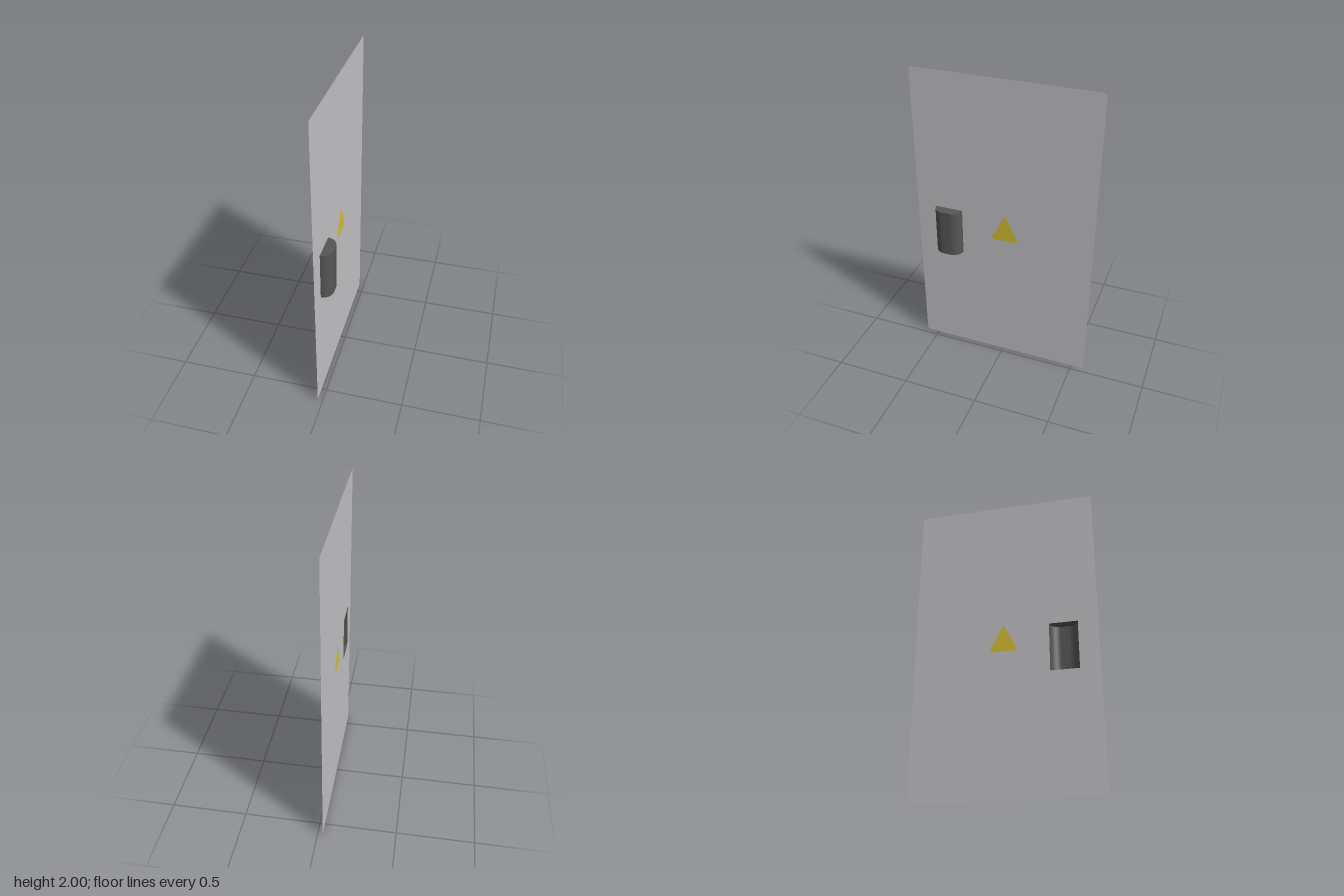
import * as THREE from 'three';

const BACK = -0.033;               // plane of the panel
const R = 0.065;                   // handle depth and corner radius
const Z0 = 0.28, Z1 = 0.46;        // handle extent along z
const Y0 = 0.768, Y1 = 1.083;      // handle extent along y

const material = (name, color) =>
  new THREE.MeshStandardMaterial({ name, color, side: THREE.DoubleSide });

// Polygon with rounded corners
function roundedPolygon(corners, radius) {
  const shape = new THREE.Shape();
  const pts = corners.map(([x, y]) => new THREE.Vector2(x, y));
  pts.forEach((p, i) => {
    const prev = pts[(i + pts.length - 1) % pts.length];
    const next = pts[(i + 1) % pts.length];
    const a = p.clone().add(prev.clone().sub(p).setLength(radius));
    const b = p.clone().add(next.clone().sub(p).setLength(radius));
    if (i === 0) shape.moveTo(a.x, a.y); else shape.lineTo(a.x, a.y);
    shape.quadraticCurveTo(p.x, p.y, b.x, b.y);
  });
  shape.closePath();
  return shape;
}

// Stands a flat shape up facing +x (shape x becomes -z)
const upright = (shape, x) =>
  new THREE.ShapeGeometry(shape, 8).rotateY(Math.PI / 2).translate(x, 0, 0);

export function createModel() {
  const model = new THREE.Group();
  model.name = 'panelDoor';
  const panelGrey = material('panelGrey', 0xc2c1c4);
  const handleGrey = material('handleGrey', 0x565656);
  const signYellow = material('signYellow', 0xd4bf32);
  const add = (parent, name, geometry, mat) => {
    const mesh = new THREE.Mesh(geometry, mat);
    mesh.name = name;
    parent.add(mesh);
  };

  // Thin door sheet, open behind the handle
  const sheet = roundedPolygon([[-0.587, 0], [0.587, 0], [0.587, 2], [-0.587, 2]], 0.02);
  const hole = new THREE.Path();
  hole.moveTo(-Z1, Y0).lineTo(-Z1, Y1).lineTo(-Z0, Y1).lineTo(-Z0, Y0).closePath();
  sheet.holes.push(hole);
  add(model, 'panel', upright(sheet, BACK), panelGrey);

  // Warning triangle on both faces
  const triangle = roundedPolygon([[-0.082, 0.922], [0.102, 0.922], [0.01, 1.108]], 0.022);
  add(model, 'signOuter', upright(triangle, BACK + 0.002), signYellow);
  add(model, 'signInner', upright(triangle, BACK - 0.002), signYellow);

  // Hollow handle: D-shaped profile in x and z
  const profile = new THREE.Shape();
  profile.moveTo(BACK, Z0);
  profile.absarc(BACK, Z0 + R, R, -Math.PI / 2, 0, false);
  profile.absarc(BACK, Z1 - R, R, 0, Math.PI / 2, false);

  const handle = new THREE.Group();
  handle.name = 'handle';
  model.add(handle);

  const points = profile.getPoints(12).filter((p, i, all) => i === 0 || p.distanceTo(all[i - 1]) > 1e-5);
  const n = points.length;
  const wall = new THREE.PlaneGeometry(1, 1, n - 1, 1);
  for (let i = 0; i < n; i++) {
    const p = points[n - 1 - i];
    wall.attributes.position.setXYZ(i, p.x, Y1, p.y);
    wall.attributes.position.setXYZ(n + i, p.x, Y0, p.y);
  }
  wall.computeVertexNormals();
  add(handle, 'handleWall', wall, handleGrey);

  // End caps, each facing outward
  const bottom = new THREE.ShapeGeometry(profile, 12).rotateX(Math.PI / 2).translate(0, Y0, 0);
  const top = new THREE.ShapeGeometry(profile, 12).rotateX(Math.PI / 2);
  top.index.array.reverse();
  top.translate(0, Y1, 0);
  top.computeVertexNormals();
  add(handle, 'handleBottom', bottom, handleGrey);
  add(handle, 'handleTop', top, handleGrey);

  return model;
}
